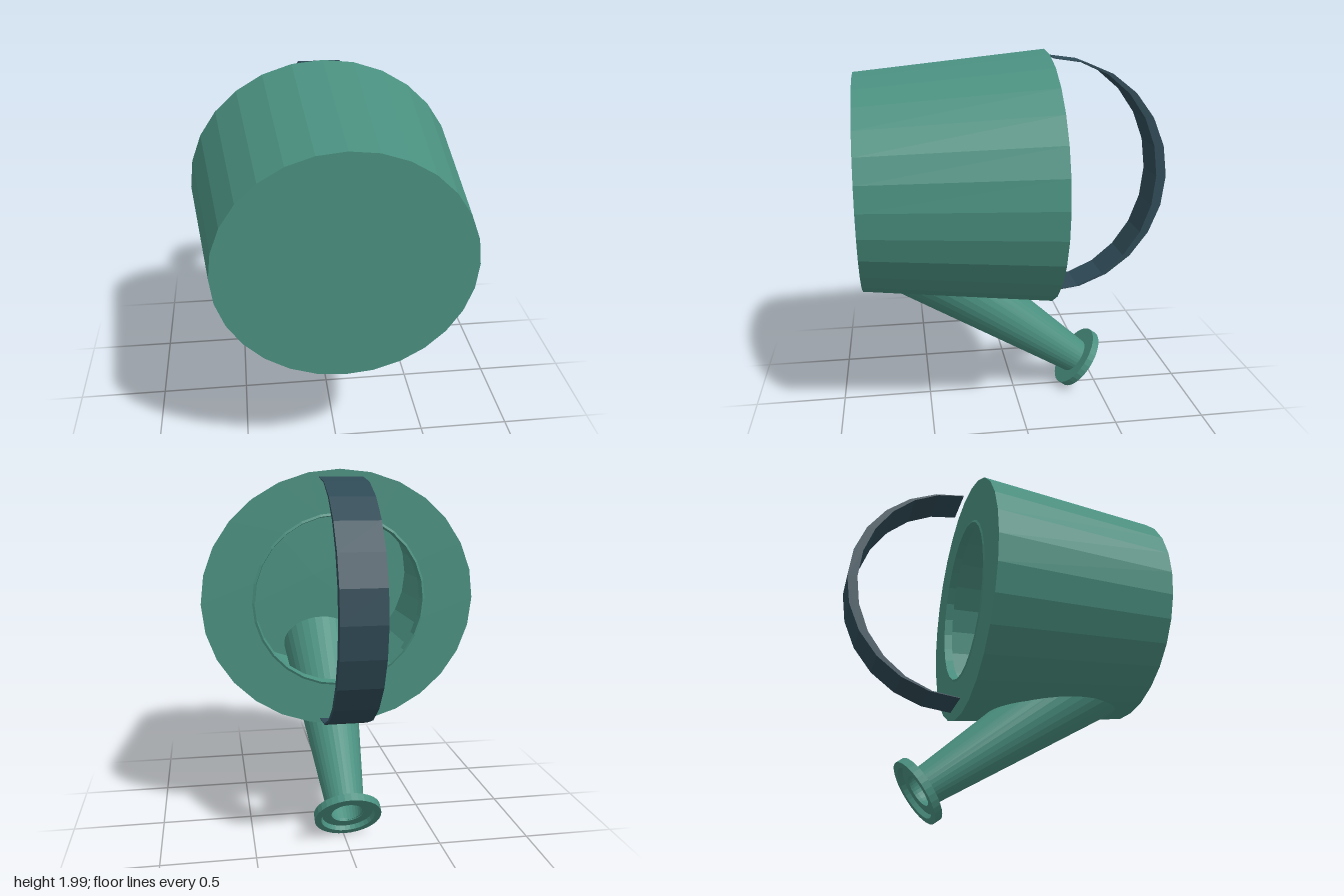
import * as THREE from 'three';

const green = new THREE.MeshStandardMaterial({ color: 0x4a9080 });
green.name = 'green';
const slate = new THREE.MeshStandardMaterial({ color: 0x2f4a56 });
slate.name = 'slate';

// Faceted geometry: every face gets its own normals
function faceted(geometry) {
  const g = geometry.index ? geometry.toNonIndexed() : geometry;
  g.computeVertexNormals();
  return g;
}

// Closed ring profile turned around the y axis
function turned(profile, sides) {
  const points = profile.map(([r, y]) => new THREE.Vector2(r, y));
  return new THREE.LatheGeometry(points, sides);
}

function addMesh(parent, name, geometry, material) {
  const mesh = new THREE.Mesh(faceted(geometry), material);
  mesh.name = name;
  parent.add(mesh);
  return mesh;
}

// Tapered can lying on its side, slightly oval, with a round opening at the back
function canGeometry() {
  const g = turned([
    [0.452, -0.125], [0.46, -0.172], [0.472, -0.166], [0.74, -0.166],
    [0.627, 0.845], [0, 0.845], [0, 0.833], [0.614, 0.833],
    [0.724, -0.125], [0.452, -0.125],
  ], 28);
  g.rotateX(Math.PI / 2);
  const p = g.attributes.position;
  for (let i = 0; i < p.count; i++) {
    if (Math.hypot(p.getX(i), p.getY(i)) > 0.48) p.setY(i, p.getY(i) * 0.938);
  }
  return g.translate(0, 1.306, 0);
}

// Crescent band: two half ellipses that meet at the ends
function handleGeometry() {
  const steps = 12;
  const arc = (rx, ry) => Array.from({ length: steps + 1 }, (_, i) => {
    const a = -Math.PI / 2 + (Math.PI * i) / steps;
    return new THREE.Vector2(0.2 + rx * Math.cos(a), 1.308 + ry * Math.sin(a));
  });
  const outline = [...arc(0.645, 0.654), ...arc(0.59, 0.65).reverse()];
  const g = new THREE.ExtrudeGeometry(new THREE.Shape(outline), { depth: 0.23, bevelEnabled: false });
  return g.translate(0, 0, -0.115).rotateY(Math.PI / 2);
}

export function createModel() {
  const model = new THREE.Group();
  model.name = 'wateringCan';

  addMesh(model, 'can', canGeometry(), green);
  addMesh(model, 'handle', handleGeometry(), slate);

  // Spout and its rim share one sloping axis, starting at the tip
  const spout = new THREE.Group();
  spout.name = 'spoutAssembly';
  spout.position.set(0, 0.153, -0.407);
  spout.rotation.x = 0.94;
  model.add(spout);

  addMesh(spout, 'spout', turned([
    [0.088, 0.03], [0.1, 0.03], [0.226, 1.28], [0.212, 1.28], [0.088, 0.03],
  ], 32), green);

  const rim = addMesh(spout, 'spoutRim', turned([
    [0.088, 0.025], [0.14, 0.025], [0.148, 0], [0.183, 0],
    [0.183, 0.043], [0.088, 0.043], [0.088, 0.025],
  ], 32), green);
  rim.position.x = -0.007;

  return model;
}
